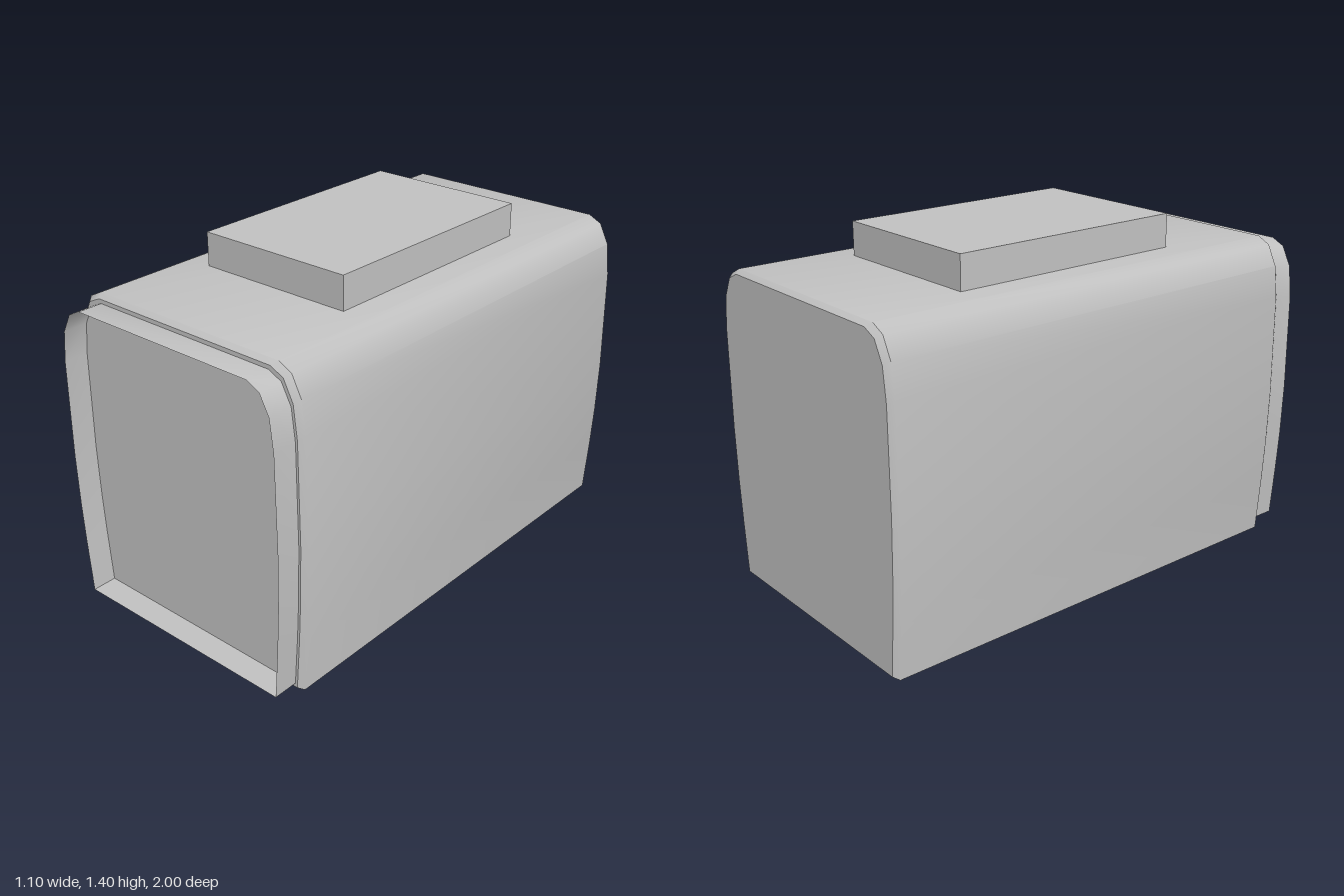
import * as THREE from 'three';
import { toCreasedNormals } from 'three/addons/utils/BufferGeometryUtils.js';

const grey = new THREE.MeshStandardMaterial({ color: 0xc0c0c0 });
grey.name = 'grey';
const greyOpen = grey.clone();
greyOpen.name = 'grey open rim';
greyOpen.side = THREE.DoubleSide;

// Right half of the bulging cross-section, from the floor up to the roof
const half = [
  [0.517, 0], [0.533, 0.22], [0.543, 0.4], [0.549, 0.62], [0.545, 1.03],
  [0.53, 1.16], [0.49, 1.24], [0.435, 1.267],
];
const MID = 0.634;

// Full counter-clockwise section at depth z, pulled in by the given amounts
function section(z, insetX, insetY) {
  const k = (MID - insetY) / MID;
  const right = half.map(([x, y]) => [x - insetX, MID + (y - MID) * k, z]);
  const left = right.map(([x, y]) => [-x, y, z]).reverse();
  return [...right, ...left];
}

// Skin a list of sections (back to front), with optional flat end caps
function loft(sections, capped) {
  const n = sections[0].length;
  const index = [];
  for (let s = 0; s < sections.length - 1; s++) {
    for (let i = 0; i < n; i++) {
      const j = (i + 1) % n;
      const a = s * n + i, b = s * n + j;
      index.push(a, b, b + n, a, b + n, a + n);
    }
  }
  if (capped) {
    const f = (sections.length - 1) * n;
    for (let i = 1; i < n - 1; i++) {
      index.push(0, i + 1, i);
      index.push(f, f + i, f + i + 1);
    }
  }
  const geometry = new THREE.BufferGeometry();
  geometry.setAttribute('position', new THREE.Float32BufferAttribute(sections.flat(2), 3));
  geometry.setIndex(index);
  return toCreasedNormals(geometry, 0.7);
}

export function createModel() {
  const group = new THREE.Group();
  const add = (name, geometry, material) => {
    const mesh = new THREE.Mesh(geometry, material);
    mesh.name = name;
    group.add(mesh);
    return mesh;
  };

  // Long housing with narrow bevels at both ends
  add('housing', loft([
    section(-1, 0.016, 0.014),
    section(-0.978, 0, 0),
    section(0.878, 0, 0),
    section(0.9, 0.016, 0.014),
  ], true), grey);

  // Thin open rim around the recessed front
  add('frontRim', loft([
    section(0.895, 0.025, 0.03),
    section(1, 0.025, 0.03),
  ], false), greyOpen);

  // Flat raised block on the roof
  add('roofBlock', new THREE.BoxGeometry(0.664, 0.16, 1), grey)
    .position.set(0, 1.32, -0.05);

  return group;
}
